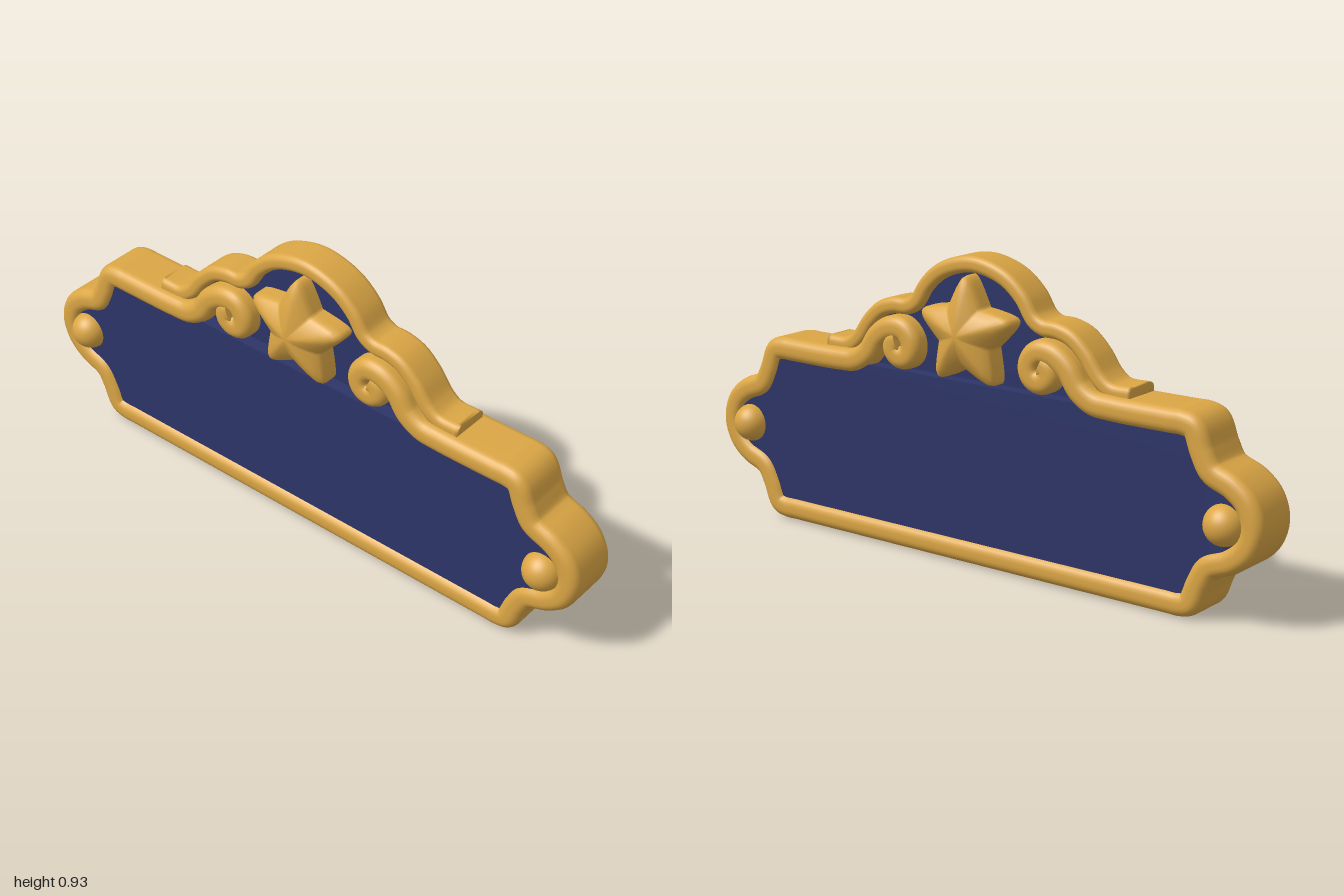
import * as THREE from 'three';
import { mergeVertices } from 'three/addons/utils/BufferGeometryUtils.js';

// Right half joined to its mirror image, running from left to right
const mirrored = (half) => [...half.slice(1).reverse().map(([x, y]) => [-x, y]), ...half];

const smoothPath = (pts) => new THREE.CatmullRomCurve3(
  pts.map(([x, y]) => new THREE.Vector3(x, y, 0)), false, 'centripetal');

// Rounded-rectangle moulding swept along a path in the xy plane
function moulding(pts, halfWidth, halfDepth, radius) {
  const curve = smoothPath(pts);
  const steps = pts.length * 7;
  const section = [];
  for (let corner = 0; corner < 4; corner++) {
    const su = corner === 0 || corner === 3 ? 1 : -1;
    const sz = corner < 2 ? 1 : -1;
    for (let k = 0; k <= 5; k++) {
      const a = (corner + k / 5) * Math.PI / 2;
      section.push([
        su * (halfWidth - radius) + radius * Math.cos(a),
        sz * (halfDepth - radius) + radius * Math.sin(a),
      ]);
    }
  }
  const n = section.length, pos = [], index = [];
  for (let i = 0; i <= steps; i++) {
    const p = curve.getPoint(i / steps), t = curve.getTangent(i / steps);
    for (const [u, z] of section) pos.push(p.x - t.y * u, p.y + t.x * u, z);
  }
  for (let i = 0; i < steps; i++) {
    for (let j = 0; j < n; j++) {
      const a = i * n + j, b = i * n + (j + 1) % n;
      index.push(a, b, b + n, a, b + n, a + n);
    }
  }
  // End caps
  const last = steps * n;
  for (let j = 1; j < n - 1; j++) {
    index.push(0, j + 1, j, last, last + j, last + j + 1);
  }
  const geo = new THREE.BufferGeometry();
  geo.setAttribute('position', new THREE.Float32BufferAttribute(pos, 3));
  geo.setIndex(index);
  geo.computeVertexNormals();
  return geo;
}

// Flat board filling the outline, centred on z = 0
function board(pts, halfDepth) {
  const outline = smoothPath(pts).getPoints(pts.length * 6).map((p) => new THREE.Vector2(p.x, p.y));
  return new THREE.ExtrudeGeometry(new THREE.Shape(outline), { depth: halfDepth * 2, bevelEnabled: false })
    .translate(0, 0, -halfDepth);
}

// Puffed five-pointed star: a lathe whose radius follows a star rule
function puffedStar() {
  const front = [[1, 0.07], [0.98, 0.085], [0.92, 0.096], [0.75, 0.109], [0.5, 0.122], [0.25, 0.131], [0, 0.135]];
  const profile = [...front.slice().reverse().map(([r, z]) => [r, -z]), ...front]
    .map(([r, z]) => new THREE.Vector2(r, z));
  let geo = new THREE.LatheGeometry(profile, 100).rotateX(Math.PI / 2);
  const p = geo.attributes.position, R = 0.21, r = 0.1, step = Math.PI / 5;
  for (let i = 0; i < p.count; i++) {
    const turn = Math.atan2(p.getX(i), p.getY(i)) / (2 * step);
    const a = Math.hypot((turn - Math.round(turn)) * 2 * step, 0.1);
    const s = R * r * Math.sin(step) / (R * Math.sin(a) + r * Math.sin(step - a));
    p.setXY(i, p.getX(i) * s, p.getY(i) * s);
  }
  geo.deleteAttribute('uv');
  geo.deleteAttribute('normal');
  geo = mergeVertices(geo, 1e-5);
  geo.computeVertexNormals();
  return geo;
}

export function createModel() {
  const gold = new THREE.MeshStandardMaterial({ color: 0xdba645 });
  gold.name = 'gold';
  const navy = new THREE.MeshStandardMaterial({ color: 0x2d3568 });
  navy.name = 'navy';

  const model = new THREE.Group();
  model.name = 'sign';
  const add = (name, geo, mat, x = 0, y = 0, z = 0) => {
    const mesh = new THREE.Mesh(geo, mat);
    mesh.name = name;
    mesh.position.set(x, y, z);
    model.add(mesh);
  };

  // Frame centreline: bottom rail, bulging end, top rail
  const lowerEnd = [[0.74, 0.037], [0.772, 0.047], [0.8, 0.11], [0.83, 0.16], [0.9, 0.192], [0.945, 0.232]];
  const upperEnd = lowerEnd.slice().reverse().map(([x, y]) => [x, 0.59 - y]);
  const side = [[0, 0.037], [0.4, 0.037], [0.7, 0.037], ...lowerEnd, [0.965, 0.295], ...upperEnd,
    [0.7, 0.553], [0.5, 0.554]];
  // Curl that finishes the top rail
  const scroll = [[0.44, 0.56], [0.39, 0.59], [0.35, 0.645], [0.3, 0.677], [0.25, 0.678], [0.222, 0.65],
    [0.219, 0.62], [0.235, 0.598], [0.265, 0.594], [0.287, 0.612], [0.283, 0.635], [0.265, 0.642]];
  add('frame', moulding(mirrored([...side, ...scroll]), 0.037, 0.09, 0.03), gold);
  add('mainPanel', board(mirrored([...side, [0.3, 0.554]]), 0.075), navy);

  // Arched crest with shoulders
  const crest = [[0, 0.9], [0.11, 0.873], [0.175, 0.822], [0.215, 0.765], [0.25, 0.746], [0.3, 0.743],
    [0.35, 0.727], [0.4, 0.684], [0.445, 0.625], [0.485, 0.598], [0.56, 0.595]];
  add('crestTrim', moulding(mirrored(crest), 0.025, 0.06, 0.02), gold);
  add('crestPanel', board(mirrored([...crest.slice(0, -1), [0.48, 0.54]]), 0.035), navy);

  add('star', puffedStar(), gold, 0, 0.7, 0);

  // Round studs on both faces
  const stud = new THREE.SphereGeometry(0.06, 32, 20);
  for (const x of [-0.88, 0.88]) {
    for (const z of [-0.07, 0.07]) add('stud', stud, gold, x, 0.293, z);
  }
  return model;
}
